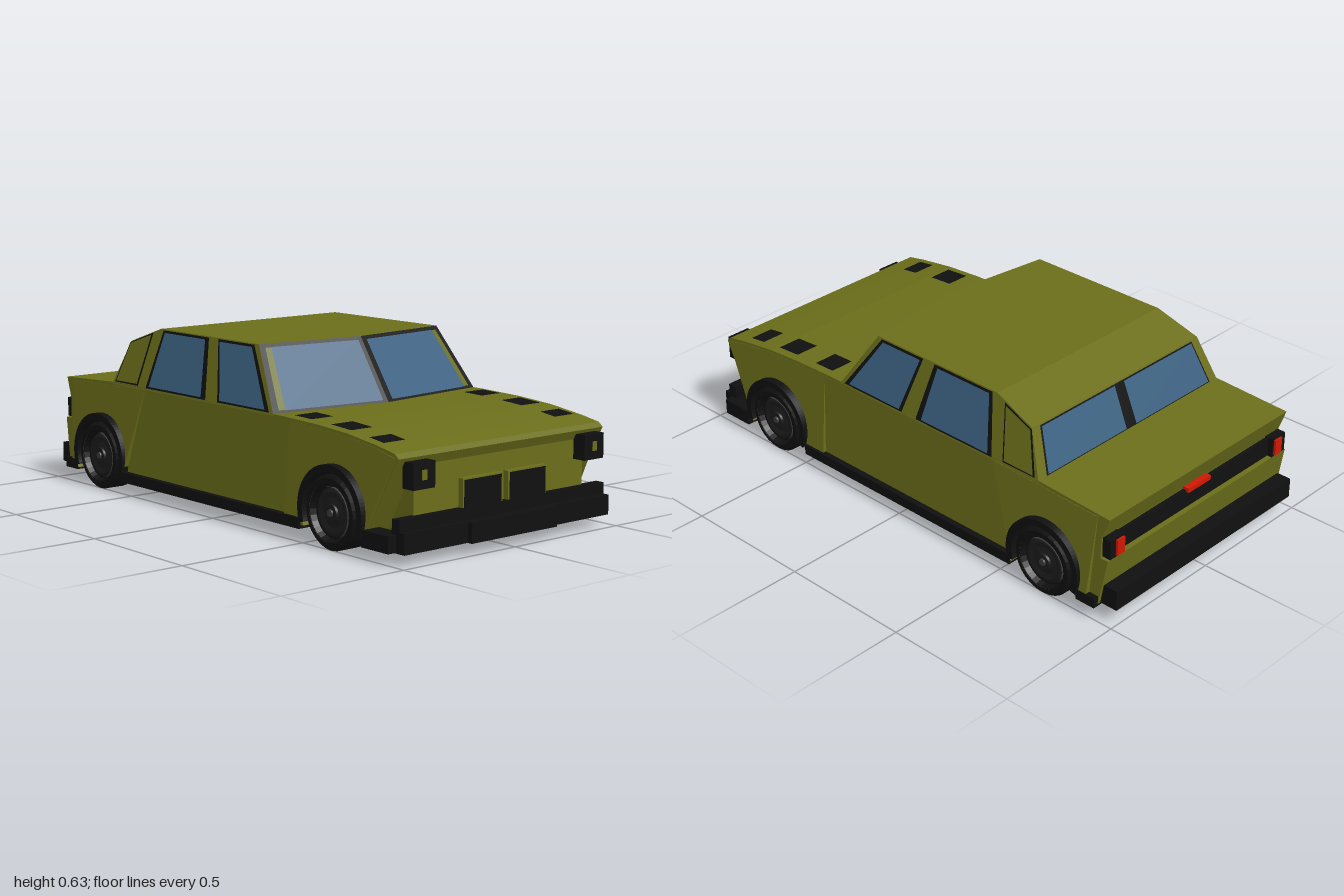
import * as THREE from 'three';

const mat = (color) => new THREE.MeshStandardMaterial({ color, flatShading: true });
const V = (x, y, z) => new THREE.Vector3(x, y, z);

export function createModel() {
  const car = new THREE.Group();
  car.name = 'car';
  const olive = mat(0x6b6e1a), black = mat(0x101010), glass = mat(0x3c6282);
  const red = mat(0xd01804), grey = mat(0x3c3c3c), dark = mat(0x1c1c1c);
  const WHEEL_Y = 0.127, ARCH = 0.16, FRONT = 0.65, REAR = -0.7;

  const add = (name, geo, material) => {
    const m = new THREE.Mesh(geo, material);
    m.name = name;
    car.add(m);
    return m;
  };
  // box from minimum and maximum corners
  const box = (name, material, x0, x1, y0, y1, z0, z1) =>
    add(name, new THREE.BoxGeometry(x1 - x0, y1 - y0, z1 - z0), material)
      .position.set((x0 + x1) / 2, (y0 + y1) / 2, (z0 + z1) / 2);
  const boxPair = (name, material, x0, x1, ...yz) => {
    box(name, material, x0, x1, ...yz);
    box(name, material, -x1, -x0, ...yz);
  };
  // flat outward-facing polygon, lifted along its normal
  const panel = (name, material, pts, lift = 0) => {
    const n = V(0, 0, 0), c = V(0, 0, 0);
    pts.forEach((p, i) => {
      n.add(p.clone().cross(pts[(i + 1) % pts.length]));
      c.addScaledVector(p, 1 / pts.length);
    });
    n.normalize();
    let list = pts;
    if (n.dot(c.sub(V(0, 0.3, 0))) < 0) { n.negate(); list = [...pts].reverse(); }
    const moved = list.map((p) => p.clone().addScaledVector(n, lift)), tris = [];
    for (let i = 1; i < moved.length - 1; i++) tris.push(moved[0], moved[i], moved[i + 1]);
    const g = new THREE.BufferGeometry().setFromPoints(tris);
    g.computeVertexNormals();
    add(name, g, material);
  };
  const panelPair = (name, material, pts, lift) => {
    panel(name, material, pts, lift);
    panel(name, material, pts.map((p) => V(-p.x, p.y, p.z)), lift);
  };
  // part of a quad [bottom0, bottom1, top1, top0]
  const part = (q, u0, u1, v0, v1) => [[u0, v0], [u1, v0], [u1, v1], [u0, v1]].map(([u, v]) =>
    q[0].clone().lerp(q[1], u).lerp(q[3].clone().lerp(q[2], u), v));
  // side profile in (z, y), extruded across the car; width narrows from low to high
  const across = (name, material, shape, low, high) => {
    const g = new THREE.ExtrudeGeometry(shape, { depth: 2, bevelEnabled: false, curveSegments: 20 });
    g.translate(0, 0, -1).rotateY(-Math.PI / 2);
    const p = g.attributes.position;
    for (let i = 0; i < p.count; i++)
      p.setX(i, p.getX(i) * (low + (high - low) * (p.getY(i) - 0.06) / 0.35));
    g.computeVertexNormals();
    return add(name, g, material);
  };
  const profile = (start, archs, rest) => {
    const s = new THREE.Shape();
    s.moveTo(...start);
    const a = Math.asin((WHEEL_Y - 0.06) / ARCH);
    archs.forEach((z) => s.absarc(z, WHEEL_Y, ARCH, -a, Math.PI + a, false));
    rest.forEach((p) => s.lineTo(...p));
    return s;
  };

  // Body shell and fenders
  const hood = [[0.37, 0.41], [0.55, 0.405], [0.7, 0.395], [0.85, 0.375], [0.93, 0.36], [0.947, 0.345]];
  across('body', olive, profile([0.947, 0.06], [FRONT, REAR],
    [[-0.93, 0.06], [-0.962, 0.24], [-0.93, 0.24], [-0.93, 0.315], [-0.96, 0.397], [-0.6, 0.414], ...hood]), 0.488, 0.475);
  across('frontFender', olive, profile([0.935, 0.06], [FRONT],
    [[0.4, 0.06], [0.4, 0.4], [0.7, 0.385], [0.85, 0.365], [0.935, 0.345]]), 0.502, 0.475);
  across('rearFender', olive, profile([-0.46, 0.06], [REAR],
    [[-0.89, 0.06], [-0.91, 0.39], [-0.44, 0.405]]), 0.508, 0.476);
  box('innerBody', olive, -0.395, 0.395, 0.055, 0.34, -0.92, 0.93);

  // Cabin
  const X = (y) => 0.475 - (y - 0.41) * 0.25;
  const S = (z, y) => V(X(y), y, z);
  const mirror = (p) => V(-p.x, p.y, p.z);
  const screen = [V(0, 0.405, 0.374), S(0.315, 0.405), S(0.167, 0.63), V(0, 0.63, 0.22)];
  const roofBack = S(-0.41, 0.63), rearTop = S(-0.58, 0.57), rearBase = S(-0.65, 0.405);
  panelPair('cabinSide', olive, [screen[1], screen[2], roofBack, rearTop, rearBase]);
  panelPair('windscreenFrame', black, screen);
  panel('roof', olive, [screen[3], screen[2], roofBack, mirror(roofBack), mirror(screen[2])]);
  panel('roofRear', olive, [roofBack, rearTop, mirror(rearTop), mirror(roofBack)]);
  panel('cabinBack', olive, [rearTop, rearBase, mirror(rearBase), mirror(rearTop)]);

  // Windscreen and rear window, two panes each
  panelPair('windscreenReveal', olive, part(screen, 0.05, 0.95, 0.06, 0.94), 0.002);
  panelPair('windscreenGlass', glass, part(screen, 0.045, 0.895, 0.05, 0.94), 0.004);
  const back = [V(0, 0.405, -0.65), rearBase, rearTop, V(0, 0.57, -0.58)];
  panelPair('rearWindowFrame', black, part(back, 0, 0.915, 0.04, 0.97), 0.002);
  panelPair('rearWindowGlass', glass, part(back, 0.055, 0.9, 0.06, 0.94), 0.004);

  // Side windows: black frame below a slightly smaller pane
  const sideQuad = (b0, b1, t1, t0) => [S(b0, 0.412), S(b1, 0.412), S(t1, 0.626), S(t0, 0.626)];
  [['front', sideQuad(0.292, 0, -0.06, 0.145)], ['rear', sideQuad(-0.07, -0.435, -0.39, -0.115)]].forEach(([n, q]) => {
    panelPair(n + 'SideWindowFrame', black, q, 0.002);
    panelPair(n + 'SideWindowGlass', glass, part(q, 0.07, 0.95, 0.03, 0.96), 0.004);
  });
  // Rear quarter panel with a dark seam
  const quarter = [S(-0.485, 0.415), S(-0.632, 0.415), S(-0.583, 0.565), S(-0.45, 0.612)];
  panelPair('quarterSeam', black, quarter, 0.002);
  panelPair('quarterPanel', olive, part(quarter, 0.05, 0.95, 0.03, 0.97), 0.004);

  // Hood vents
  const hoodY = (z) => {
    const i = hood.findIndex((p) => p[0] >= z), [a, b] = [hood[i - 1], hood[i]];
    return a[1] + (b[1] - a[1]) * (z - a[0]) / (b[0] - a[0]);
  };
  [[0.39, 0.48], [0.58, 0.68], [0.77, 0.84]].forEach(([a, b]) => panelPair('hoodVent', black,
    [V(0.35, hoodY(a), a), V(0.445, hoodY(a), a), V(0.445, hoodY(b), b), V(0.35, hoodY(b), b)], 0.004));

  // Front face
  boxPair('headlight', black, 0.35, 0.445, 0.245, 0.333, 0.93, 0.982);
  boxPair('headlightInsert', olive, 0.388, 0.408, 0.275, 0.308, 0.97, 0.985);
  boxPair('grilleFrame', olive, 0.012, 0.196, 0.145, 0.248, 0.93, 0.951);
  boxPair('grille', black, 0.02, 0.19, 0.15, 0.243, 0.93, 0.953);
  box('frontValance', black, -0.48, 0.48, 0.05, 0.15, 0.92, 0.956);
  box('frontBumper', black, -0.48, 0.48, 0.04, 0.11, 0.92, 0.98);
  box('frontBumperCentre', black, -0.2, 0.2, 0.04, 0.11, 0.96, 1);
  boxPair('frontBumperSide', black, 0.44, 0.513, 0.042, 0.1, 0.81, 0.94);

  // Rear face
  box('rearBand', black, -0.45, 0.45, 0.243, 0.312, -0.945, -0.92);
  boxPair('tailLightHousing', black, 0.4, 0.472, 0.243, 0.316, -0.964, -0.92);
  boxPair('tailLight', red, 0.408, 0.445, 0.25, 0.31, -0.972, -0.93);
  box('centreBrakeLight', red, -0.06, 0.06, 0.305, 0.322, -0.955, -0.92);
  box('rearBumper', black, -0.475, 0.475, 0.06, 0.135, -1, -0.92);
  boxPair('rearBumperSide', black, 0.43, 0.508, 0.052, 0.09, -0.93, -0.85);

  // Sills and underside
  boxPair('sill', black, 0.44, 0.51, 0.047, 0.085, -0.55, 0.49);
  boxPair('frontUnderTray', black, 0.03, 0.42, 0.045, 0.06, 0.665, 0.93);
  boxPair('frontUnderTray', black, 0.03, 0.42, 0.045, 0.06, 0.36, 0.65);

  // Wheels with arch flares; lathe profiles run (radius, outward)
  const lathe = (pts) => new THREE.LatheGeometry(pts.map((p) => new THREE.Vector2(...p)), 28).rotateZ(-Math.PI / 2);
  const tyre = lathe([[0, -0.05], [0.115, -0.05], [0.127, -0.04], [0.127, 0.04], [0.117, 0.05], [0.098, 0.05], [0.09, 0.03], [0, 0.03]]);
  const rim = lathe([[0.086, 0.03], [0.088, 0.046], [0.1, 0.052], [0.102, 0.046]]);
  const disc = lathe([[0.088, 0.028], [0.07, 0.036], [0.05, 0.032], [0.03, 0.036], [0.028, 0.044], [0, 0.044]]);
  const cap = lathe([[0.014, 0.04], [0.012, 0.05], [0, 0.05]]);
  const ring = new THREE.Shape();
  ring.absarc(0, 0, ARCH + 0.002, -0.35, Math.PI + 0.35, false);
  ring.absarc(0, 0, 0.138, Math.PI + 0.35, -0.35, true);
  const flare = new THREE.ExtrudeGeometry(ring, { depth: 0.12, bevelEnabled: false, curveSegments: 24 })
    .translate(0, 0, -0.06).rotateY(-Math.PI / 2);
  for (const z of [FRONT, REAR]) for (const s of [1, -1]) {
    const wheel = new THREE.Group();
    wheel.name = (z > 0 ? 'front' : 'rear') + (s > 0 ? 'Left' : 'Right') + 'Wheel';
    [['tyre', tyre, black], ['rim', rim, grey], ['disc', disc, dark], ['hubCap', cap, grey]].forEach(([n, g, m]) => {
      const mesh = new THREE.Mesh(g, m);
      mesh.name = n;
      wheel.add(mesh);
    });
    wheel.position.set(s * 0.462, WHEEL_Y, z);
    wheel.rotation.y = s > 0 ? 0 : Math.PI;
    car.add(wheel);
    add('archFlare', flare, black).position.set(s * 0.455, WHEEL_Y, z);
  }
  return car;
}
